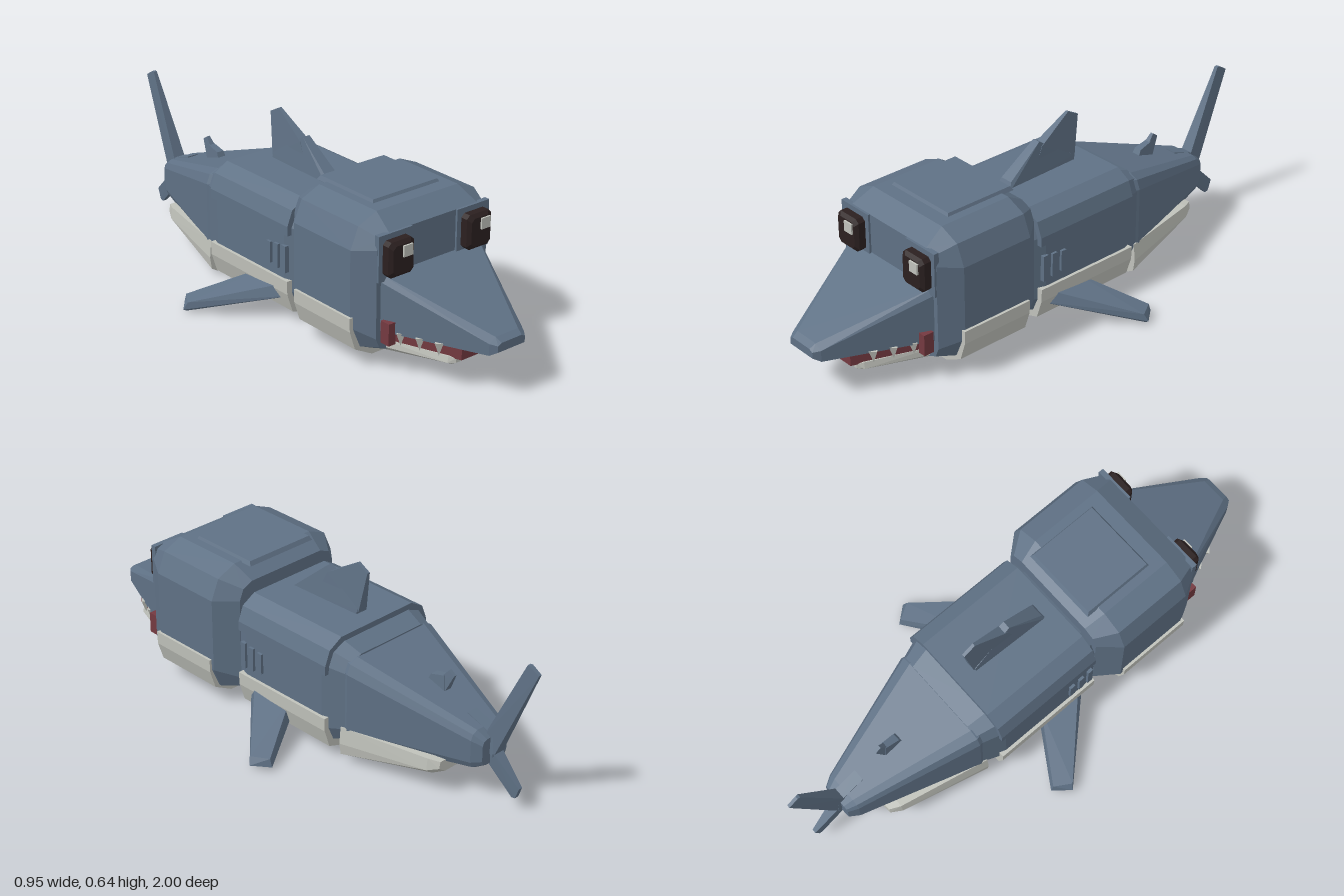
import * as THREE from 'three';
import { ConvexGeometry } from 'three/addons/geometries/ConvexGeometry.js';

const mat = (name, color) => {
  const m = new THREE.MeshStandardMaterial({ color });
  m.name = name;
  return m;
};

// Rounded-corner cross-section at depth z: half width, bottom, top, corner size
function ring(z, w, y0, y1, c) {
  const pts = [];
  for (const s of [-1, 1]) {
    for (const [dx, dy] of [[0, c], [0.3 * c, 0.3 * c], [c, 0]]) {
      pts.push([s * (w - dx), y0 + dy, z], [s * (w - dx), y1 - dy, z]);
    }
  }
  return pts;
}

// Mirrored profile: list of [x, y] at depth z
const pairs = (z, list) => list.flatMap(([x, y]) => [[x, y, z], [-x, y, z]]);

// Upright fin: outline of [z, y, half thickness]
const finPoints = (list) => list.flatMap(([z, y, t]) => [[t, y, z], [-t, y, z]]);

export function createModel() {
  const group = new THREE.Group();
  group.name = 'shark';
  const blue = mat('slate blue skin', 0x5f7185);
  const pale = mat('pale belly', 0xc0c2bb);
  const dark = mat('dark eye', 0x2b2020);
  const red = mat('mouth red', 0x743940);

  const hull = (name, material, points) => {
    const geo = new ConvexGeometry(points.map((p) => new THREE.Vector3(...p)));
    const mesh = new THREE.Mesh(geo, material);
    mesh.name = name;
    group.add(mesh);
    return mesh;
  };
  const box = (name, material, size, pos) => {
    const mesh = new THREE.Mesh(new THREE.BoxGeometry(...size), material);
    mesh.name = name;
    mesh.position.set(...pos);
    group.add(mesh);
    return mesh;
  };

  // Head with chamfered ends
  hull('head', blue, [
    ...ring(0.62, 0.245, 0.08, 0.5, 0.05), ...ring(0.54, 0.29, 0.045, 0.545, 0.11),
    ...ring(0.25, 0.29, 0.045, 0.545, 0.11), ...ring(0.175, 0.225, 0.07, 0.5, 0.06),
  ]);
  hull('headPlate', blue, [
    ...pairs(0.49, [[0.15, 0.54]]), ...pairs(0.2, [[0.15, 0.54]]),
    ...pairs(0.48, [[0.142, 0.555]]), ...pairs(0.21, [[0.142, 0.555]]),
  ]);
  const headBelly = [[0.3, 0.195], [0.298, 0.145], [0.275, 0.075], [0.2, 0.035]];
  hull('headBelly', pale, [...pairs(0.55, headBelly), ...pairs(0.26, headBelly)]);

  // Snout
  hull('snout', blue, [
    ...pairs(0.6, [[0.222, 0.36], [0.236, 0.34], [0.236, 0.155]]),
    ...pairs(0.975, [[0.05, 0.217], [0.077, 0.2], [0.077, 0.158]]),
    ...pairs(0.998, [[0.045, 0.203], [0.06, 0.195], [0.06, 0.172]]),
  ]);

  // Mouth and lower jaw
  hull('gums', red, [
    ...pairs(0.6, [[0.205, 0.17], [0.205, 0.112]]),
    ...pairs(0.88, [[0.105, 0.17], [0.105, 0.112]]),
  ]);
  hull('lowerJaw', pale, [
    ...pairs(0.56, [[0.218, 0.115], [0.22, 0.085], [0.19, 0.06], [0.12, 0.05]]),
    ...pairs(0.84, [[0.125, 0.118], [0.13, 0.095], [0.11, 0.085]]),
    ...pairs(0.86, [[0.11, 0.113], [0.11, 0.097]]),
  ]);

  // Teeth along the upper jaw
  const tooth = new THREE.ConeGeometry(0.02, 0.05, 4).toNonIndexed();
  tooth.computeVertexNormals();
  for (const s of [-1, 1]) {
    for (const [x, z] of [[0.035, 0.89], [0.14, 0.81], [0.165, 0.745], [0.19, 0.68]]) {
      const mesh = new THREE.Mesh(tooth, pale);
      mesh.name = 'tooth';
      mesh.position.set(s * x, 0.138, z);
      mesh.rotation.x = Math.PI;
      group.add(mesh);
    }
    box('mouthCorner', red, [0.03, 0.08, 0.04], [s * 0.219, 0.16, 0.65]);

    // Brow panel, eye and its highlight
    box('browPanel', blue, [0.145, 0.165, 0.02], [s * 0.172, 0.418, 0.618]);
    const cx = s * 0.173, eye = [];
    for (const [z, k] of [[0.62, 0], [0.655, 0], [0.667, 0.012]]) {
      for (const a of [-1, 1]) for (const b of [-1, 1]) {
        eye.push([cx + a * (0.055 - k), 0.418 + b * (0.05 - k), z]);
        eye.push([cx + a * (0.042 - k), 0.418 + b * (0.063 - k), z]);
      }
    }
    hull('eye', dark, eye);
    box('eyeHighlight', pale, [0.04, 0.04, 0.009], [cx + 0.017, 0.445, 0.669]);

    // Gill slits
    for (const z of [0.138, 0.097, 0.055]) {
      box('gill', blue, [0.02, 0.1 - (0.138 - z) * 0.25, 0.022], [s * 0.238, 0.248, z]);
    }

    // Side fin
    hull('sideFin', blue, [
      [0.2, 0.145, 0.13], [0.2, 0.1, 0.15], [0.2, 0.13, -0.05], [0.2, 0.07, -0.06],
      [0.462, 0.048, -0.13], [0.475, 0.02, -0.14], [0.465, 0.015, -0.135],
      [0.425, 0.048, -0.19], [0.425, 0.018, -0.2],
    ].map(([x, y, z]) => [s * x, y, z]));
  }

  // Body, back shell and belly
  hull('body', blue, [
    ...ring(0.2, 0.215, 0.06, 0.43, 0.07), ...ring(0.13, 0.238, 0.04, 0.45, 0.08),
    ...ring(-0.25, 0.238, 0.04, 0.45, 0.08), ...ring(-0.345, 0.205, 0.08, 0.415, 0.06),
  ]);
  const shell = [[0.246, 0.34], [0.246, 0.375], [0.225, 0.43], [0.17, 0.462]];
  hull('backShell', blue, [...pairs(0.16, shell), ...pairs(-0.275, shell)]);
  const belly = [[0.25, 0.17], [0.248, 0.12], [0.225, 0.05], [0.09, 0.005]];
  hull('belly', pale, [...pairs(0.16, belly), ...pairs(-0.275, belly)]);

  // Tail and its belly
  hull('tail', blue, [
    ...ring(-0.3, 0.2, 0.1, 0.415, 0.05), ...ring(-0.345, 0.212, 0.09, 0.41, 0.05),
    ...ring(-0.79, 0.08, 0.13, 0.275, 0.03), ...ring(-0.825, 0.06, 0.15, 0.25, 0.02),
  ]);
  hull('tailBelly', pale, [
    ...pairs(-0.32, [[0.216, 0.145], [0.222, 0.08], [0.215, 0.035], [0.19, 0.02]]),
    ...pairs(-0.66, [[0.145, 0.145], [0.15, 0.1], [0.12, 0.077]]),
    ...pairs(-0.7, [[0.125, 0.14], [0.13, 0.115], [0.1, 0.095]]),
  ]);

  // Upright fins
  hull('dorsalFinBase', blue, finPoints([
    [0.115, 0.45, 0.035], [0.1, 0.48, 0.025], [-0.04, 0.585, 0.015],
    [-0.2, 0.48, 0.022], [-0.2, 0.45, 0.025],
  ]));
  hull('dorsalFinTip', blue, finPoints([
    [-0.02, 0.5, 0.024], [-0.05, 0.565, 0.019], [-0.185, 0.65, 0.006],
    [-0.232, 0.625, 0.006], [-0.205, 0.47, 0.02],
  ]));
  hull('rearFinBase', blue, finPoints([
    [-0.53, 0.34, 0.018], [-0.545, 0.37, 0.015], [-0.6, 0.385, 0.012], [-0.61, 0.31, 0.018],
  ]));
  hull('rearFinTip', blue, finPoints([
    [-0.575, 0.36, 0.014], [-0.617, 0.41, 0.006], [-0.64, 0.395, 0.006], [-0.61, 0.33, 0.014],
  ]));
  hull('tailFinRoot', blue, finPoints([
    [-0.72, 0.3, 0.022], [-0.72, 0.25, 0.025], [-0.84, 0.18, 0.025], [-0.835, 0.26, 0.022],
  ]));
  hull('upperTailFin', blue, finPoints([
    [-0.8, 0.25, 0.025], [-0.95, 0.573, 0.007], [-0.96, 0.575, 0.006],
    [-0.998, 0.552, 0.006], [-0.845, 0.19, 0.022], [-0.8, 0.19, 0.025],
  ]));
  hull('lowerTailFin', blue, finPoints([
    [-0.79, 0.17, 0.022], [-0.835, 0.2, 0.022], [-0.945, 0.095, 0.008],
    [-0.93, 0.053, 0.008], [-0.915, 0.05, 0.008],
  ]));

  return group;
}
